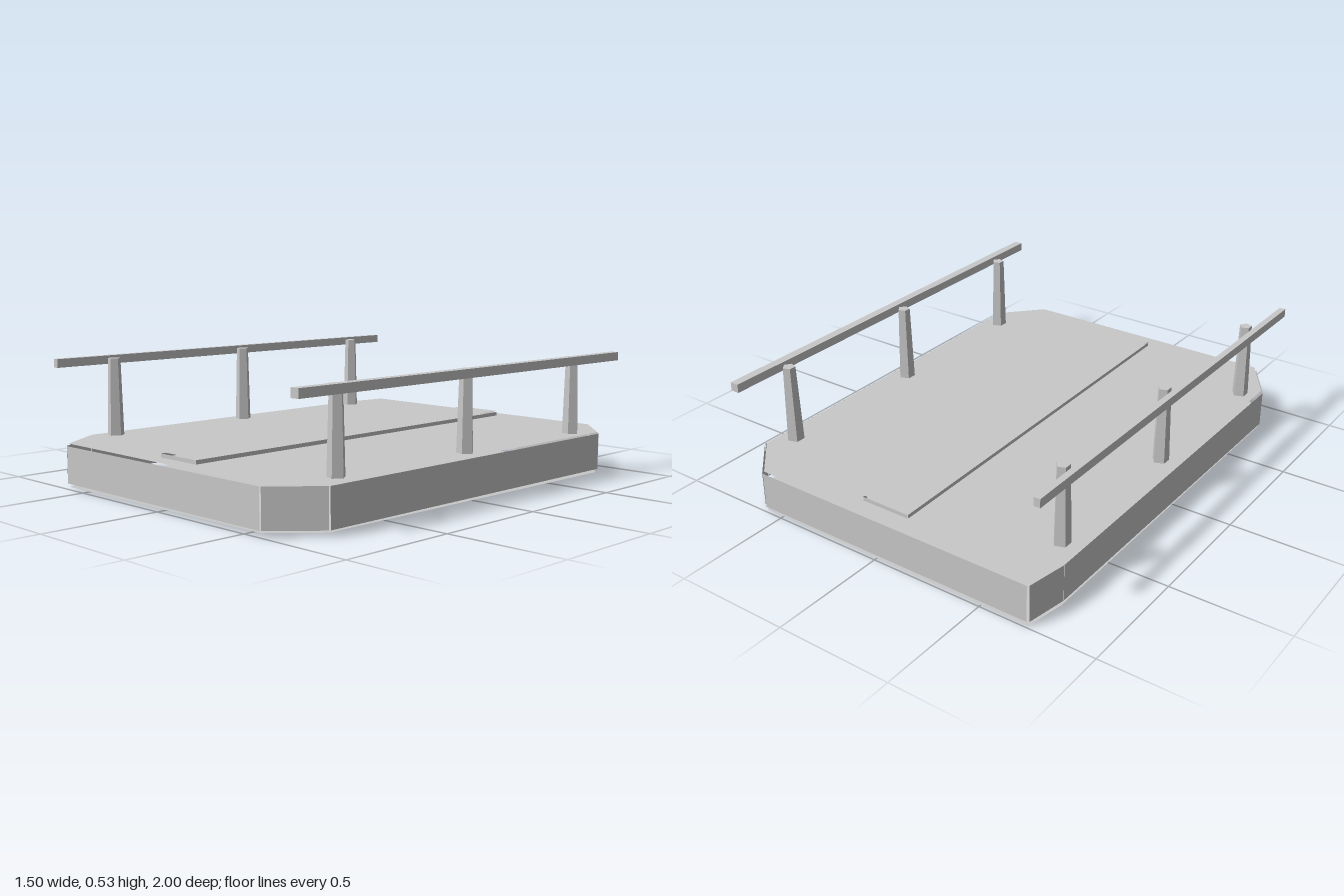
import * as THREE from 'three';

const grey = new THREE.MeshStandardMaterial({ color: 0xc8c8c8, flatShading: true, side: THREE.DoubleSide });
grey.name = 'plain grey';

function add(parent, name, geometry, x = 0, y = 0, z = 0) {
  const mesh = new THREE.Mesh(geometry, grey);
  mesh.name = name;
  mesh.position.set(x, y, z);
  parent.add(mesh);
  return mesh;
}

// Flat sheet filling an outline of [x, z] points, at a height given by a rule
function sheet(outline, heightAt, faceUp) {
  const shape = new THREE.Shape(outline.map(([x, z]) => new THREE.Vector2(x, -z)));
  const geometry = new THREE.ShapeGeometry(shape);
  geometry.rotateX(-Math.PI / 2);
  const p = geometry.attributes.position;
  for (let i = 0; i < p.count; i++) p.setY(i, heightAt(p.getX(i), p.getZ(i)));
  if (!faceUp) geometry.index.array.reverse();
  geometry.computeVertexNormals();
  return geometry;
}

// One upright panel per outline edge, each set slightly outward
function walls(parent, name, outline, y0, y1, gap) {
  outline.forEach(([ax, az], i) => {
    const [bx, bz] = outline[(i + 1) % outline.length];
    const length = Math.hypot(bx - ax, bz - az);
    const nx = -(bz - az) / length, nz = (bx - ax) / length;
    const panel = add(parent, name, new THREE.PlaneGeometry(length, y1 - y0),
      (ax + bx) / 2 + nx * gap, (y0 + y1) / 2, (az + bz) / 2 + nz * gap);
    panel.rotation.y = Math.atan2(nx, nz);
  });
}

export function createModel() {
  const model = new THREE.Group();
  model.name = 'platform';

  // Deck with cut corners, running counter-clockwise from the front
  const deckOutline = [
    [-0.61, 0.99], [0.58, 0.99], [0.74, 0.82], [0.74, -0.82],
    [0.58, -0.99], [-0.71, -0.99], [-0.74, -0.82], [-0.74, 0.79],
  ];
  const deck = new THREE.Group();
  deck.name = 'deck';
  model.add(deck);
  add(deck, 'deckTop', sheet(deckOutline, (x) => 0.19 - 0.003 * x, true));
  add(deck, 'deckBottom', sheet(deckOutline, (x, z) => 0.01 + 0.005 * x + 0.004 * z, false));
  walls(deck, 'deckSide', deckOutline, 0.026, 0.182, 0.008);

  // Raised strip along the middle
  const stripOutline = [[-0.08, 0.915], [0.13, 0.915], [0.11, -0.92], [-0.11, -0.92]];
  const strip = new THREE.Group();
  strip.name = 'centreStrip';
  model.add(strip);
  add(strip, 'stripTop', sheet(stripOutline, () => 0.212, true));
  walls(strip, 'stripSide', stripOutline, 0.187, 0.206, 0.002);

  // Posts and handrails on both sides
  for (const side of [-1, 1]) {
    const railing = new THREE.Group();
    railing.name = side > 0 ? 'leftRailing' : 'rightRailing';
    model.add(railing);
    for (const z of [-0.72, 0, 0.715]) {
      const post = add(railing, 'post', new THREE.CylinderGeometry(0.027, 0.036, 0.336, 5), side * 0.67, 0.354, z);
      post.rotation.y = Math.PI / 2;
    }
    add(railing, 'handrail', new THREE.BoxGeometry(side > 0 ? 0.038 : 0.027, 0.036, 1.93),
      side > 0 ? 0.725 : -0.728, 0.512, 0);
  }
  return model;
}
